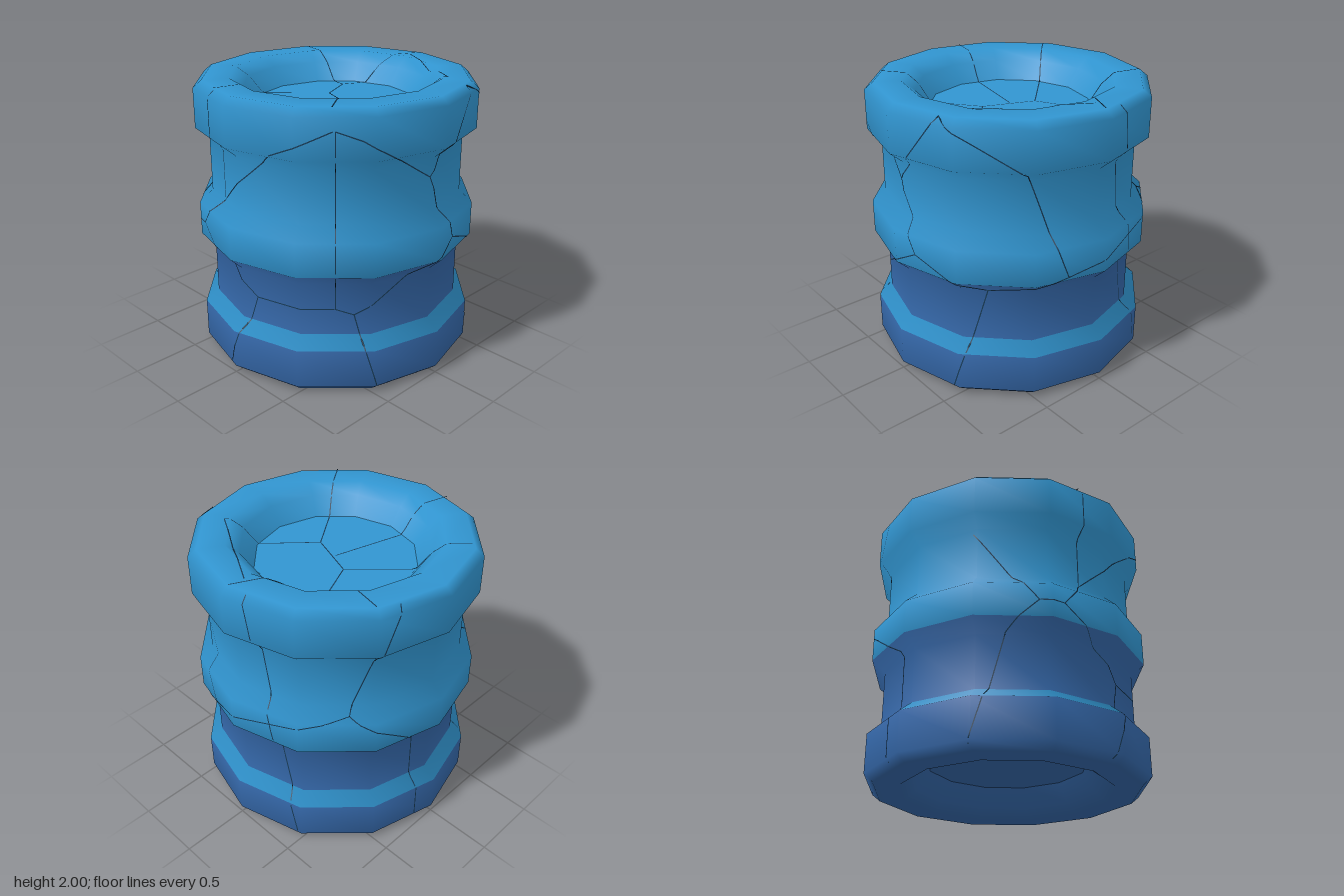
import * as THREE from 'three';

const SIDES = 12;
const STEP = (Math.PI * 2) / SIDES;
const rad = THREE.MathUtils.degToRad;

// Lower half of the profile [radius, height], mirrored for the upper half
const half = [
  [0.57, 0.2], [0.66, 0.07], [0.75, 0], [0.94, 0], [1, 0.05],
  [1, 0.33], [0.905, 0.41], [0.905, 0.79], [1, 0.88],
];
const profile = [...half, ...half.map(([r, y]) => [r, 2 - y]).reverse()];
const outer = profile.slice(3, 15);
const topRim = profile.slice(14).reverse();

// Linear lookup in a list of pairs, from column a to column b
function lookup(list, a, b, v) {
  if (v <= list[0][a]) return list[0][b];
  for (let i = 1; i < list.length; i++) {
    const p = list[i - 1], q = list[i];
    if (v <= q[a]) return p[b] + ((q[b] - p[b]) * (v - p[a])) / (q[a] - p[a]);
  }
  return list[list.length - 1][b];
}

// Ratio between the faceted outline and its corner radius at an angle
function facet(angle) {
  const t = ((angle % STEP) + STEP) % STEP;
  return Math.cos(STEP / 2) / Math.cos(t - STEP / 2);
}

// Point on the side wall from degrees and height
function onSide(deg, y) {
  const t = rad(deg);
  const r = lookup(outer, 1, 0, y) * facet(t) + 0.003;
  return new THREE.Vector3(Math.sin(t) * r, y, Math.cos(t) * r);
}

// Point on the top from x and z
function onTop(x, z) {
  const r = Math.hypot(x, z) / facet(Math.atan2(x, z));
  return new THREE.Vector3(x, lookup(topRim, 0, 1, r) + 0.003, z);
}

// Hairline ribbon that follows the surface along a path
function crackGeometry(path, place, outward) {
  const pts = [], steps = 24;
  for (let i = 0; i < path.length - 1; i++) {
    for (let k = i ? 1 : 0; k <= steps; k++) {
      const f = k / steps;
      pts.push(place(
        THREE.MathUtils.lerp(path[i][0], path[i + 1][0], f),
        THREE.MathUtils.lerp(path[i][1], path[i + 1][1], f),
      ));
    }
  }
  const pos = [], index = [];
  pts.forEach((p, i) => {
    const along = pts[Math.min(i + 1, pts.length - 1)].clone().sub(pts[Math.max(i - 1, 0)]);
    const across = along.cross(outward(p)).normalize().multiplyScalar(0.004);
    pos.push(...p.clone().add(across).toArray(), ...p.clone().sub(across).toArray());
    if (i) {
      const a = i * 2 - 2;
      index.push(a, a + 2, a + 1, a + 1, a + 2, a + 3);
    }
  });
  const g = new THREE.BufferGeometry();
  g.setAttribute('position', new THREE.Float32BufferAttribute(pos, 3));
  g.setIndex(index);
  g.computeVertexNormals();
  return g;
}

// Main cracks around the wall: [degrees, height]
const sideCracks = [
  [[-14, 1.99], [-14, 1.22], [20, 1.68], [44, 1.86]],
  [[-14, 1.22], [-25, 1], [-35, 1], [-62, 1.55]],
  [[-25, 1], [8, 0.6], [45, 0.6], [45, 1.86]],
  [[-35, 1], [-48, 0.8], [-61, 0.03]],
  [[8, 0.6], [-4, 0.02]],
  [[45, 0.6], [53, 0.56], [62, 0.02]],
  [[53, 0.56], [100, 0.99], [131, 0.79], [117, 0.02]],
  [[45, 1.86], [55, 1.8], [88, 1.46], [100, 0.99]],
  [[88, 1.46], [113, 1.99], [147, 1.65], [164, 0.9]],
  [[131, 0.79], [164, 0.9], [230, 1.16], [249, 1.99]],
  [[189, 1.99], [198, 0.98], [209, 0.03]],
  [[230, 1.16], [261, 0.82], [261, 0.03]],
];

// Main cracks over the top: [x, z]
const topCracks = [
  [[0, -0.93], [-0.28, -0.35], [-0.16, -0.09], [0.2, 0.05], [0.64, 0.67]],
  [[0, 0], [-0.23, 0.9]],
  [[-0.16, -0.09], [-0.76, 0.5]],
  [[0.2, 0.05], [0.65, -0.43], [-0.02, -0.82]],
  [[-0.28, -0.35], [-0.8, -0.47]],
];

function material(name, color) {
  const m = new THREE.MeshStandardMaterial({ color });
  m.name = name;
  return m;
}

export function createModel() {
  const model = new THREE.Group();
  model.name = 'crackedBarrel';

  const lightBlue = material('light blue', 0x3195d0);
  const darkBlue = material('dark blue', 0x3365a5);
  const crackBlue = material('crack blue', 0x173a55);
  crackBlue.side = THREE.DoubleSide;

  const add = (name, geometry, mat, parent = model) => {
    const mesh = new THREE.Mesh(geometry, mat);
    mesh.name = name;
    parent.add(mesh);
    return mesh;
  };

  // Wall bands share one smooth surface and each keep a range of its rings
  const wall = new THREE.LatheGeometry(profile.map(([r, y]) => new THREE.Vector2(r, y)), SIDES);
  const rings = profile.length;
  const band = (name, from, to, mat) => {
    const g = wall.clone(), index = [];
    for (let s = 0; s < SIDES; s++) {
      for (let j = from; j < to; j++) {
        const a = s * rings + j, b = a + rings;
        index.push(a, b, a + 1, b + 1, a + 1, b);
      }
    }
    g.setIndex(index);
    add(name, g, mat);
  };
  band('lowerRim', 0, 5, darkBlue);
  band('lightStripe', 5, 6, lightBlue);
  band('lowerWall', 6, 8, darkBlue);
  band('upperWall', 8, rings - 1, lightBlue);

  // Recessed end caps
  const cap = (name, y, turn, mat) => {
    const mesh = add(name, new THREE.CircleGeometry(0.57, SIDES), mat);
    mesh.rotation.x = turn;
    mesh.position.y = y;
  };
  cap('topCap', 1.8, -Math.PI / 2, lightBlue);
  cap('bottomCap', 0.2, Math.PI / 2, darkBlue);

  // Hairline cracks
  const cracks = new THREE.Group();
  cracks.name = 'cracks';
  model.add(cracks);
  const radial = (p) => new THREE.Vector3(p.x, 0, p.z).normalize();
  const up = () => new THREE.Vector3(0, 1, 0);
  sideCracks.forEach((path) => add('sideCrack', crackGeometry(path, onSide, radial), crackBlue, cracks));
  topCracks.forEach((path) => add('topCrack', crackGeometry(path, onTop, up), crackBlue, cracks));

  return model;
}
